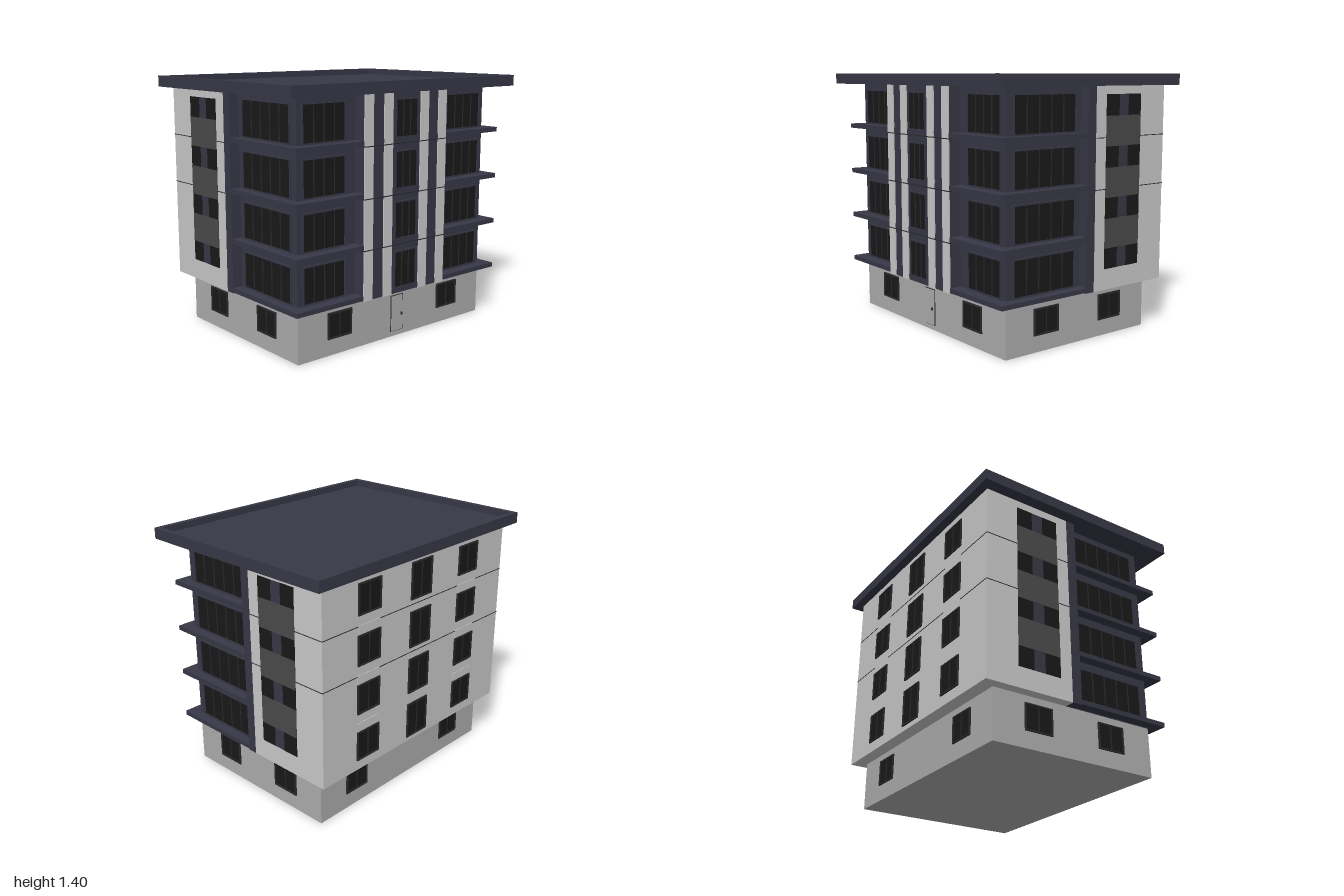
import * as THREE from 'three';

const mat = (color) => new THREE.MeshStandardMaterial({ color, flatShading: true });

export function createModel() {
  const pale = mat(0xcccccc), plinth = mat(0xaeaeae), navy = mat(0x383847);
  const glass = mat(0x191919), bar = mat(0x2a2a2e), panel = mat(0x4b4b4b), light = mat(0xeeeeee);

  const model = new THREE.Group();
  model.name = 'apartmentBuilding';
  const building = new THREE.Group();
  building.name = 'building';
  building.rotation.y = THREE.MathUtils.degToRad(40);
  model.add(building);

  // box given by its min and max on each axis
  function box(parent, name, material, x0, x1, y0, y1, z0, z1) {
    const mesh = new THREE.Mesh(new THREE.BoxGeometry(x1 - x0, y1 - y0, z1 - z0), material);
    mesh.position.set((x0 + x1) / 2, (y0 + y1) / 2, (z0 + z1) / 2);
    mesh.name = name;
    parent.add(mesh);
    return mesh;
  }

  // facade group whose +z points outward
  function facade(name, turn) {
    const g = new THREE.Group();
    g.name = name;
    g.rotation.y = turn;
    building.add(g);
    return g;
  }

  // glazed window: dark pane, border frame and vertical bars
  function windowUnit(parent, name, cx, w, y0, y1, z, panes, frame = bar) {
    const g = new THREE.Group();
    g.name = name;
    parent.add(g);
    const x0 = cx - w / 2, x1 = cx + w / 2, t = 0.008;
    box(g, 'pane', glass, x0, x1, y0, y1, z - 0.01, z + 0.003);
    box(g, 'frameTop', frame, x0 - t, x1 + t, y1, y1 + t, z - 0.01, z + 0.008);
    box(g, 'frameBottom', frame, x0 - t, x1 + t, y0 - t, y0, z - 0.01, z + 0.008);
    for (const [a, b] of [[x0 - t, x0], [x1, x1 + t]])
      box(g, 'frameSide', frame, a, b, y0, y1, z - 0.01, z + 0.008);
    for (let i = 1; i < panes; i++) {
      const x = x0 + (w * i) / panes;
      box(g, 'bar', bar, x - 0.003, x + 0.003, y0, y1, z - 0.005, z + 0.006);
    }
  }

  const BX = 0.67, BZ = 0.488;           // ground floor half sizes
  const WX = 0.727, WZ = 0.563;          // upper floor half sizes
  const FLOOR = 0.268, Y0 = 0.27, TOP = 1.34;
  const floors = [0, 1, 2, 3].map((i) => Y0 + i * FLOOR);

  // main volumes
  box(building, 'groundFloor', plinth, -BX, BX, 0, Y0, -BZ, BZ);
  box(building, 'rearBlock', pale, -WX, WX, Y0, TOP, -WZ, -0.055);
  box(building, 'dividingWall', navy, -WX, WX, Y0, TOP, -0.055, 0);
  box(building, 'frontBlock', navy, -BX, BX, Y0, TOP, 0, BZ);
  box(building, 'centreBay', navy, -0.297, 0.297, Y0, TOP, BZ, 0.553);

  // balcony slabs around the front block
  for (const y of floors)
    box(building, 'balconySlab', navy, -WX, WX, y + 0.005, y + 0.03, 0, 0.556);

  // pilasters on the centre bay
  for (const s of [-1, 1])
    for (const c of [0.13, 0.265])
      box(building, 'pilaster', pale, s * c - 0.03, s * c + 0.03, Y0, TOP, 0.54, 0.56);

  // thin floor joints
  for (const y of floors.slice(1)) {
    box(building, 'frontJoint', bar, -0.298, 0.298, y - 0.002, y + 0.003, 0.54, 0.5615);
    if (y > 0.6)
      box(building, 'rearJoint', bar, -WX - 0.0015, WX + 0.0015, y - 0.002, y + 0.002, -WZ - 0.0015, -0.055);
  }

  // roof slab with a raised rim
  const RX = 0.792, RZ = 0.612, R = 0.03;
  box(building, 'roofSlab', navy, -RX, RX, TOP, 1.365, -RZ, RZ);
  for (const s of [-1, 1]) {
    const x = s * (RX - R / 2), z = s * (RZ - R / 2);
    box(building, 'roofRimSide', navy, x - R / 2, x + R / 2, 1.365, 1.4, -RZ, RZ);
    box(building, 'roofRimEnd', navy, -RX + R, RX - R, 1.365, 1.4, z - R / 2, z + R / 2);
  }

  // front: centre windows, balcony glazing, door
  const front = facade('frontFacade', 0);
  for (const y of floors) {
    windowUnit(front, 'centreWindow', 0, 0.15, y + 0.035, y + 0.225, 0.553, 3, navy);
    for (const s of [-1, 1])
      windowUnit(front, 'balconyGlazing', s * 0.502, 0.262, y + 0.038, y + 0.225, BZ, 4, navy);
  }
  for (const s of [-1, 1])
    windowUnit(front, 'groundWindow', s * 0.4, 0.145, 0.097, 0.223, BZ, 2);
  box(front, 'doorFrame', bar, -0.036, 0.054, 0.027, 0.232, BZ - 0.01, BZ + 0.003);
  box(front, 'door', plinth, -0.032, 0.05, 0.03, 0.228, BZ - 0.01, BZ + 0.006);
  box(front, 'doorHandle', bar, 0.034, 0.042, 0.115, 0.13, BZ, BZ + 0.014);

  // sides: balcony glazing, stair windows with dark panels, ground windows
  for (const s of [-1, 1]) {
    const side = facade(s > 0 ? 'rightFacade' : 'leftFacade', (s * Math.PI) / 2);
    const u = (z) => -s * z;
    floors.forEach((y, i) => {
      windowUnit(side, 'balconyGlazing', u(0.24), 0.395, y + 0.038, y + 0.225, BX, 5, navy);
      const c = u(-0.253), w0 = y + 0.112, w1 = y + 0.222;
      box(side, 'stairMullion', navy, c - 0.035, c + 0.035, w0, w1, WX - 0.01, WX + 0.002);
      for (const d of [-0.08, 0.08])
        box(side, 'stairWindow', glass, c + d - 0.046, c + d + 0.046, w0, w1, WX - 0.01, WX + 0.003);
      if (i < 3)
        box(side, 'stairPanel', panel, c - 0.126, c + 0.126, w1, w0 + FLOOR, WX - 0.01, WX + 0.004);
    });
    for (const d of [-0.225, 0.225])
      windowUnit(side, 'groundWindow', d, 0.148, 0.097, 0.223, BX, 2);
  }

  // back: three window columns, pale lintels, ground windows
  const back = facade('backFacade', Math.PI);
  floors.forEach((y, i) => {
    windowUnit(back, 'tallWindow', 0, 0.15, y + 0.035, y + 0.222, WZ, 2);
    for (const s of [-1, 1]) {
      windowUnit(back, 'rearWindow', s * 0.4, 0.15, y + 0.065, y + 0.215, WZ, 2);
      if (i < 3)
        box(back, 'lintelPanel', light, s * 0.4 - 0.08, s * 0.4 + 0.08, y + 0.224, y + 0.272, WZ - 0.01, WZ + 0.003);
    }
  });
  for (const s of [-1, 1])
    windowUnit(back, 'groundWindow', s * 0.4, 0.145, 0.097, 0.223, BZ, 2);

  return model;
}
